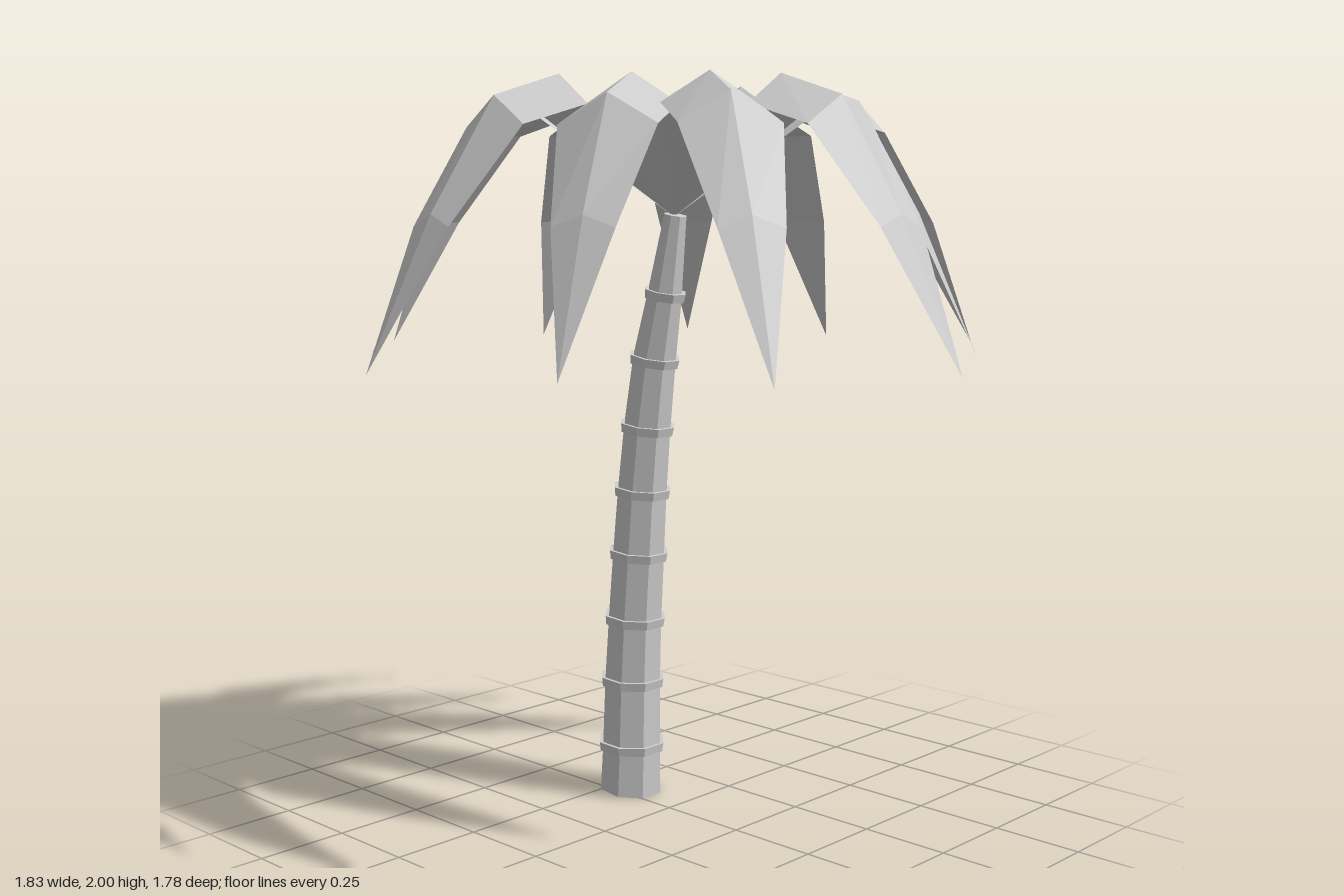
import * as THREE from 'three';

const V = (x, y, z) => new THREE.Vector3(x, y, z);

// Flat-shaded closed loft through equally sized loops of points, capped at both ends
function loft(loops) {
  const pos = [];
  const tri = (a, b, c) => {
    const area = b.clone().sub(a).cross(c.clone().sub(a)).length();
    if (area > 1e-8) pos.push(...a.toArray(), ...b.toArray(), ...c.toArray());
  };
  const n = loops[0].length;
  for (let s = 0; s < loops.length - 1; s++) {
    const a = loops[s], b = loops[s + 1];
    for (let i = 0; i < n; i++) {
      const j = (i + 1) % n;
      tri(a[i], a[j], b[j]);
      tri(a[i], b[j], b[i]);
    }
  }
  const first = loops[0], last = loops[loops.length - 1];
  for (let i = 1; i < n - 1; i++) {
    tri(first[0], first[i + 1], first[i]);
    tri(last[0], last[i], last[i + 1]);
  }
  const g = new THREE.BufferGeometry();
  g.setAttribute('position', new THREE.Float32BufferAttribute(pos, 3));
  g.computeVertexNormals();
  return g;
}

export function createModel() {
  const model = new THREE.Group();
  model.name = 'palmTree';
  const grey = new THREE.MeshStandardMaterial({ color: 0xcccccc });
  grey.name = 'grey';
  const add = (parent, name, geometry) => {
    const m = new THREE.Mesh(geometry, grey);
    m.name = name;
    parent.add(m);
    return m;
  };

  // Trunk stations: centre x, height y, radius
  const stations = [
    [-0.19, 0.009, 0.092], [-0.185, 0.14, 0.088], [-0.18, 0.33, 0.084],
    [-0.17, 0.51, 0.08], [-0.155, 0.70, 0.077], [-0.14, 0.88, 0.073],
    [-0.12, 1.06, 0.069], [-0.092, 1.25, 0.063], [-0.052, 1.43, 0.05],
    [-0.012, 1.645, 0.032],
  ];
  const trunkZ = -0.037;
  const lean = i => {
    const a = stations[Math.max(i - 1, 0)], b = stations[Math.min(i + 1, stations.length - 1)];
    return Math.atan2(b[0] - a[0], b[1] - a[1]);
  };
  // Eight-sided loop across the trunk, shifted along it by `along`
  const trunkLoop = (i, along = 0, grow = 0) => {
    const [x, y, r] = stations[i];
    const t = i === 0 ? 0.1 : lean(i);
    return Array.from({ length: 8 }, (_, k) => {
      const a = (k + 0.5) * Math.PI / 4;
      const u = Math.cos(a) * (r + grow);
      return V(
        x + Math.cos(t) * u + Math.sin(t) * along,
        y - Math.sin(t) * u + Math.cos(t) * along,
        trunkZ - Math.sin(a) * (r + grow)
      );
    });
  };
  add(model, 'trunk', loft(stations.map((_, i) => trunkLoop(i))));

  // Raised bands around the trunk
  const rings = new THREE.Group();
  rings.name = 'trunkRings';
  for (let i = 1; i < stations.length - 1; i++) {
    add(rings, 'trunkRing', loft([
      trunkLoop(i, -0.012, 0.007), trunkLoop(i, 0.012, 0.010),
    ]));
  }
  model.add(rings);

  // Frond sections: distance out, ridge height, half width, drop of the edges
  const sections = [
    [0, 0, 0, 0], [0.37, 0.36, 0.125, 0.08], [0.565, 0.30, 0.13, 0.075],
    [0.75, 0.01, 0.082, 0.03], [0.935, -0.37, 0, 0],
  ];
  const frondGeometry = stretch => loft(sections.map(([r, y, w, d]) => [
    V(r * stretch, y, 0), V(r * stretch, y - d, w), V(r * stretch, y - d, -w),
  ]));
  const longFrond = frondGeometry(1), shortFrond = frondGeometry(0.87);

  // Crown of eleven fronds, long and short in turn
  const crown = new THREE.Group();
  crown.name = 'crown';
  crown.position.set(-0.02, 1.64, -0.04);
  for (let i = 0; i < 11; i++) {
    const frond = add(crown, 'frond', i % 2 ? shortFrond : longFrond);
    frond.rotation.y = i * 2 * Math.PI / 11;
  }
  model.add(crown);
  return model;
}
